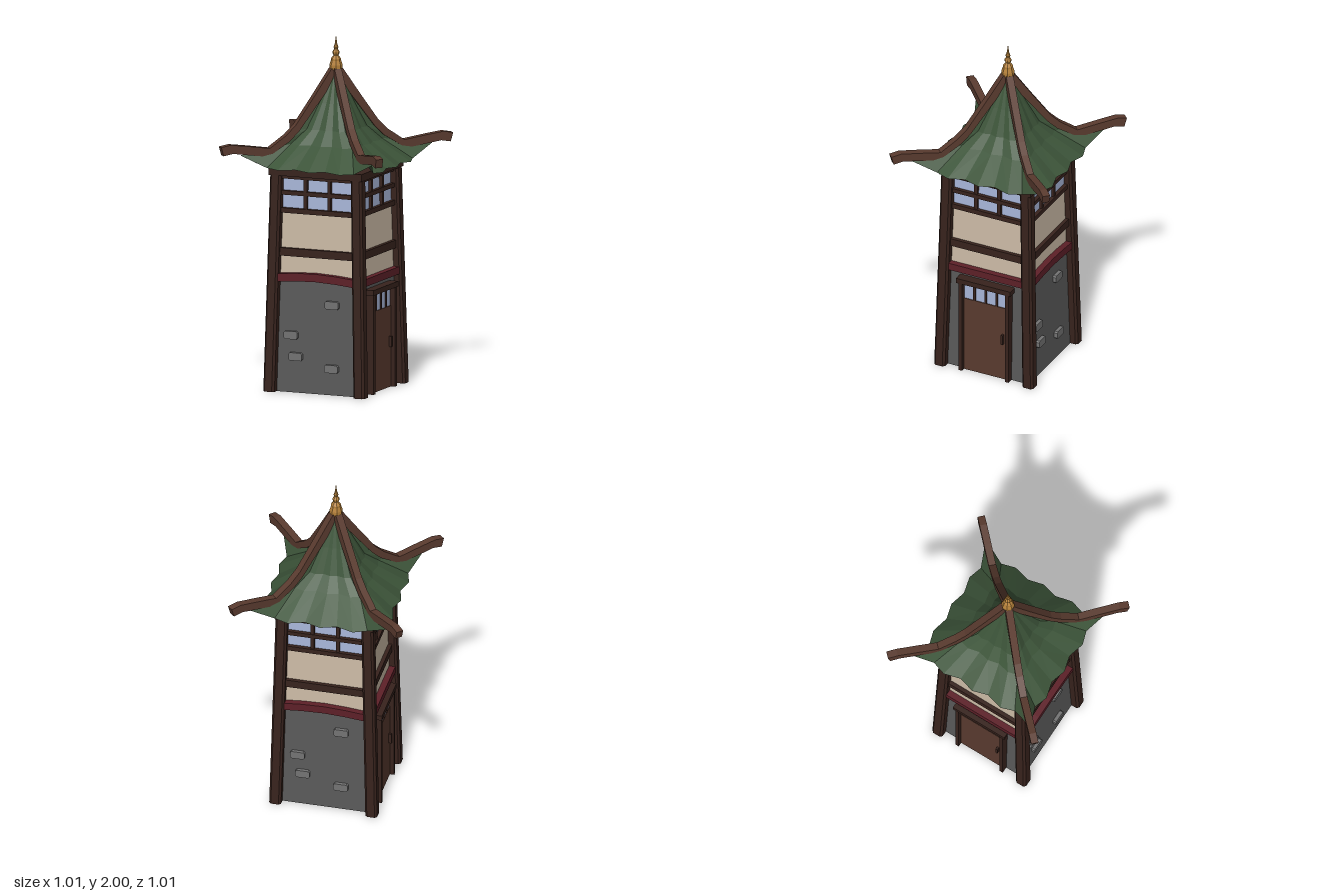
import * as THREE from 'three';

const mat = (color, side = THREE.FrontSide) => {
  const m = new THREE.MeshStandardMaterial({ color, flatShading: true });
  m.side = side;
  return m;
};
const WOOD = mat(0x38231d), BROWN = mat(0x5a3b2f), RED = mat(0x5e2028);
const STONE = mat(0x5a5a5a, THREE.DoubleSide), BRICK = mat(0x747474);
const PLASTER = mat(0xcdbca7, THREE.DoubleSide), GLASS = mat(0xa9b7da, THREE.DoubleSide);
const GREEN = mat(0x3c5439, THREE.DoubleSide), GOLD = mat(0xb5813a);

// The tower narrows upwards: distance of post centres and wall planes from the axis
const postAt = (y) => 0.277 - 0.024 * y;
const wallAt = (y) => 0.266 - 0.024 * y;

function add(parent, name, geo, material, x = 0, y = 0, z = 0) {
  const m = new THREE.Mesh(geo, material);
  m.name = name;
  m.position.set(x, y, z);
  parent.add(m);
  return m;
}

function box(parent, name, material, w, h, d, x, y, z) {
  return add(parent, name, new THREE.BoxGeometry(w, h, d), material, x, y, z);
}

// Wall strip between two heights, following the taper
function strip(parent, name, material, y0, y1) {
  const g = new THREE.PlaneGeometry(2, 1);
  const p = g.attributes.position;
  for (let i = 0; i < p.count; i++) {
    const y = p.getY(i) > 0 ? y1 : y0;
    p.setXYZ(i, p.getX(i) * postAt(y), y, wallAt(y));
  }
  g.computeVertexNormals();
  add(parent, name, g, material);
}

// Square bar with cut corners
function chamferedBar(w, h, depth, c) {
  const a = w / 2, b = h / 2;
  const s = new THREE.Shape([
    [a - c, -b], [a, c - b], [a, b - c], [a - c, b],
    [c - a, b], [-a, b - c], [-a, c - b], [c - a, -b],
  ].map(([x, y]) => new THREE.Vector2(x, y)));
  return new THREE.ExtrudeGeometry(s, { depth, bevelEnabled: false });
}

// Corner post leaning inwards
function post() {
  const g = chamferedBar(0.068, 0.068, 1.25, 0.012);
  g.rotateX(-Math.PI / 2);
  const p = g.attributes.position;
  for (let i = 0; i < p.count; i++) {
    const c = postAt(p.getY(i));
    p.setX(i, p.getX(i) + c);
    p.setZ(i, p.getZ(i) + c);
  }
  g.computeVertexNormals();
  return g;
}

// Walls, beams and windows shared by every side
function commonSide(g) {
  strip(g, 'stoneWall', STONE, 0, 0.64);
  strip(g, 'plasterWall', PLASTER, 0.64, 1.04);
  strip(g, 'windowGlass', GLASS, 1.04, 1.25);
  const beam = (name, y, h) => box(g, name, WOOD, 2 * postAt(y), h, 0.035, 0, y, wallAt(y) + 0.004);
  beam('middleBeam', 0.795, 0.045);
  beam('windowSill', 1.03, 0.028);
  beam('windowCrossbar', 1.13, 0.024);
  beam('windowHead', 1.22, 0.02);
  for (const x of [-0.073, 0.073])
    box(g, 'windowMullion', WOOD, 0.021, 0.2, 0.03, x, 1.13, wallAt(1.13) + 0.002);
  box(g, 'topBeam', WOOD, 0.57, 0.042, 0.06, 0, 1.25, 0.255);
}

function stoneSide(g) {
  // Slightly bent red band
  const band = new THREE.BoxGeometry(0.5, 0.045, 0.05, 4, 1, 1);
  const p = band.attributes.position, lift = [-0.005, 0.006, 0.01, 0.004, -0.008];
  for (let i = 0; i < p.count; i++)
    p.setY(i, p.getY(i) + lift[Math.round((p.getX(i) + 0.25) / 0.125)]);
  add(g, 'redBand', band, RED, 0, 0.652, wallAt(0.65) + 0.01);
  // Protruding stones
  for (const [x, y] of [[0.095, 0.51], [-0.155, 0.325], [-0.125, 0.205], [0.095, 0.15]])
    add(g, 'wallStone', chamferedBar(0.082, 0.045, 0.04, 0.008), BRICK, x, y, wallAt(y) - 0.02);
}

function doorSide(g) {
  box(g, 'redBand', RED, 0.5, 0.042, 0.05, 0, 0.645, wallAt(0.645) + 0.01);
  box(g, 'doorLeaf', BROWN, 0.27, 0.46, 0.03, 0, 0.23, 0.262);
  box(g, 'doorGlass', GLASS, 0.27, 0.11, 0.02, 0, 0.515, 0.262);
  for (const x of [-0.07, 0, 0.07])
    box(g, 'doorGlassBar', WOOD, 0.014, 0.11, 0.03, x, 0.515, 0.264);
  for (const s of [-1, 1])
    box(g, 'doorJamb', WOOD, 0.023, 0.57, 0.055, s * 0.146, 0.285, 0.275);
  box(g, 'doorLintel', WOOD, 0.34, 0.03, 0.062, 0, 0.58, 0.276);
  box(g, 'doorHandle', WOOD, 0.012, 0.06, 0.02, 0.11, 0.26, 0.284);
}

// Fluted roof side: rows of [corner reach, corner y, middle reach, middle y, flute depth]
function roofSide() {
  const rows = [
    [0.015, 1.81, 0.015, 1.81, 0], [0.1, 1.63, 0.085, 1.62, 0.005],
    [0.18, 1.475, 0.145, 1.475, 0.009], [0.285, 1.355, 0.21, 1.395, 0.014],
    [0.405, 1.35, 0.375, 1.275, 0.025],
  ];
  const across = [-1, -0.66, -0.465, -0.225, 0, 0.225, 0.465, 0.66, 1];
  const pos = [], idx = [], n = across.length;
  rows.forEach(([cr, cy, mr, my, flute], r) => across.forEach((t, i) => {
    const corner = Math.abs(t) === 1;
    const reach = corner ? cr : mr - (i % 2 ? flute : 0);
    const y = corner ? cy : my + (i % 2 ? flute * 0.2 : 0);
    pos.push(t * cr, y, reach);
    if (r && i) {
      const d = r * n + i, c = d - 1, b = d - n, a = b - 1;
      if (i > n / 2) idx.push(a, c, d, a, d, b);
      else idx.push(a, c, b, b, c, d);
    }
  }));
  const g = new THREE.BufferGeometry();
  g.setAttribute('position', new THREE.Float32BufferAttribute(pos, 3));
  g.setIndex(idx);
  g.computeVertexNormals();
  return g;
}

// Curved hip beam, drawn along the diagonal and given a width
function hipBeam() {
  const outline = [
    [0, 1.83], [0.025, 1.81], [0.1, 1.655], [0.175, 1.505], [0.215, 1.45], [0.285, 1.382],
    [0.37, 1.4], [0.45, 1.415], [0.49, 1.405], [0.48, 1.355], [0.44, 1.365], [0.37, 1.35],
    [0.29, 1.335], [0.2, 1.415], [0.16, 1.47], [0.085, 1.61], [0, 1.77],
  ];
  const s = new THREE.Shape(outline.map(([d, y]) => new THREE.Vector2(d * Math.SQRT2, y)));
  const g = new THREE.ExtrudeGeometry(s, { depth: 0.042, bevelEnabled: false });
  return g.translate(0, 0, -0.021);
}

export function createModel() {
  const model = new THREE.Group();
  model.name = 'tower';
  const postGeo = post(), roofGeo = roofSide(), hipGeo = hipBeam();

  for (let k = 0; k < 4; k++) {
    const side = new THREE.Group();
    side.name = ['frontSide', 'leftSide', 'backSide', 'rightSide'][k];
    side.rotation.y = k * Math.PI / 2;
    commonSide(side);
    if (k % 2) doorSide(side);
    else stoneSide(side);
    add(side, 'cornerPost', postGeo, WOOD);
    add(side, 'roofSide', roofGeo, GREEN);
    add(side, 'hipBeam', hipGeo, BROWN).rotation.y = Math.PI / 4;
    model.add(side);
  }

  // Golden finial
  const profile = [
    [0, 1.805], [0.037, 1.805], [0.037, 1.83], [0.029, 1.855], [0.029, 1.865], [0.014, 1.885],
    [0.02, 1.897], [0.02, 1.905], [0.01, 1.92], [0.014, 1.93], [0.007, 1.95], [0.004, 1.97], [0, 2],
  ].map(([r, y]) => new THREE.Vector2(r, y));
  add(model, 'finial', new THREE.LatheGeometry(profile, 8, Math.PI / 8), GOLD);
  return model;
}
